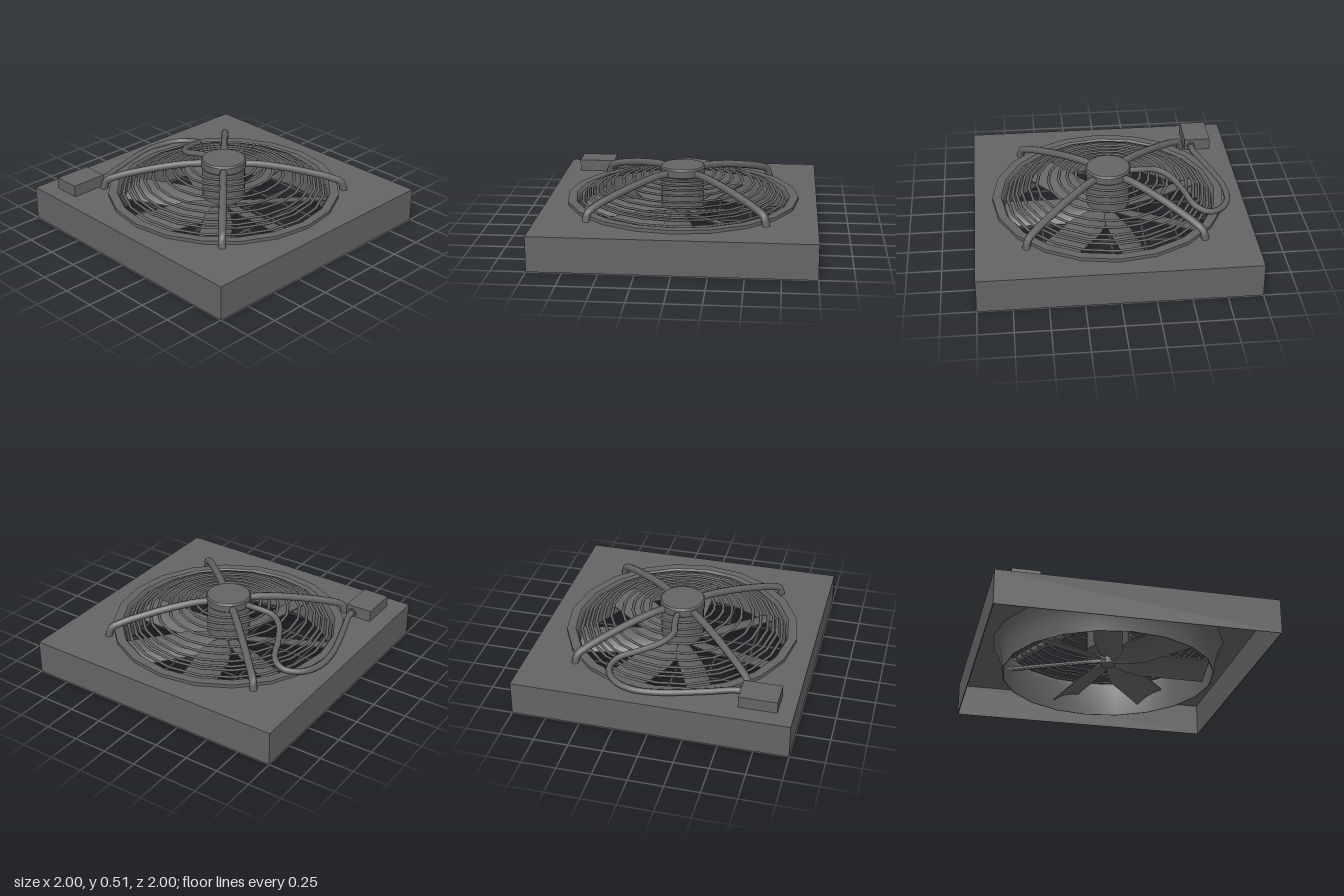
import * as THREE from 'three';
import { toCreasedNormals } from 'three/addons/utils/BufferGeometryUtils.js';

export function createModel() {
  const model = new THREE.Group();
  model.name = 'plateMountedFan';
  const metal = new THREE.MeshStandardMaterial({ color: 0x646464 });
  metal.name = 'darkGreyMetal';

  const add = (name, geometry, parent = model) => {
    const mesh = new THREE.Mesh(geometry, metal);
    mesh.name = name;
    parent.add(mesh);
    return mesh;
  };
  const lathe = (points, sides) => toCreasedNormals(
    new THREE.LatheGeometry(points.map(([r, y]) => new THREE.Vector2(r, y)), sides), 0.6);
  const tube = (points, radius, segments) => new THREE.TubeGeometry(
    new THREE.CatmullRomCurve3(points.map((p) => new THREE.Vector3(...p))), segments, radius, 8);
  const square = (h, Type) => new Type([[-h, -h], [h, -h], [h, h], [-h, h]]
    .map(([x, y]) => new THREE.Vector2(x, y)));

  // Mounting plate: folded skirt, open below, with a round opening on top
  const skirt = square(1, THREE.Shape);
  skirt.holes.push(square(0.994, THREE.Path));
  const plate = square(1, THREE.Shape);
  const opening = new THREE.Path();
  opening.absarc(0, 0, 0.82, 0, Math.PI * 2, true);
  plate.holes.push(opening);
  const slab = (shape, depth, y) => {
    const g = new THREE.ExtrudeGeometry(shape, { depth, bevelEnabled: false, curveSegments: 20 });
    return g.rotateX(-Math.PI / 2).translate(0, y, 0);
  };
  add('plateSkirt', slab(skirt, 0.247, 0));
  add('plateTop', slab(plate, 0.008, 0.247));

  // Bell-shaped duct running from the raised lip down to the skirt's lower edge
  add('duct', lathe([[0.787, 0.003], [0.794, 0.06], [0.808, 0.13], [0.832, 0.2], [0.864, 0.245],
    [0.864, 0.28], [0.8, 0.28], [0.787, 0.265], [0.781, 0.24], [0.781, 0.003], [0.787, 0.003]], 20));

  // Motor housing and the small rotor hub under it
  add('motor', lathe([[0, 0.2], [0.16, 0.2], [0.16, 0.44], [0.167, 0.448], [0.167, 0.498],
    [0.157, 0.51], [0, 0.51]], 24));
  add('rotorHub', lathe([[0, 0.095], [0.055, 0.095], [0.055, 0.2], [0, 0.2]], 20));

  // Seven pitched, cambered blades
  const rotor = new THREE.Group();
  rotor.name = 'rotor';
  model.add(rotor);
  const blade = new THREE.BoxGeometry(0.735, 0.01, 1, 6, 1, 6);
  const pos = blade.attributes.position;
  for (let i = 0; i < pos.count; i++) {
    const along = pos.getX(i) / 0.735 + 0.5;
    const across = pos.getZ(i) * 2;
    const half = 0.03 + 0.075 * Math.min(1, along * 4);
    const camber = 0.02 * (1 - across * across);
    pos.setXYZ(i, 0.035 + 0.735 * along, 0.125 + pos.getY(i) + across * half * 0.42 + camber,
      across * half - camber * 0.4);
  }
  blade.computeVertexNormals();
  for (let i = 0; i < 7; i++) {
    add('blade', blade, rotor).rotation.y = -Math.PI / 2 - i * Math.PI * 2 / 7;
  }

  // Domed guard of concentric flattened wire rings
  const guard = new THREE.Group();
  guard.name = 'guard';
  model.add(guard);
  [[0.24, 0.445], [0.305, 0.432], [0.37, 0.418], [0.445, 0.4], [0.53, 0.378], [0.59, 0.357],
    [0.645, 0.332], [0.685, 0.315], [0.715, 0.303], [0.752, 0.27]].forEach(([r, y]) => {
    add('guardRing', new THREE.TorusGeometry(r, 0.012, 6, 20).rotateX(Math.PI / 2)
      .scale(1, 0.65, 1).translate(0, y, 0), guard);
  });

  // Four bent support arms from motor to plate
  const arm = tube([[0.13, 0.465, 0], [0.25, 0.462, 0], [0.43, 0.438, 0], [0.63, 0.397, 0],
    [0.8, 0.352, 0], [0.88, 0.315, 0], [0.9, 0.25, 0]], 0.028, 24);
  for (let i = 0; i < 4; i++) {
    add('supportArm', arm, guard).rotation.y = Math.PI / 4 + i * Math.PI / 2;
  }

  // Junction box: base and lid, with cable gland
  add('junctionBoxBase', new THREE.BoxGeometry(0.275, 0.06, 0.2).translate(-0.747, 0.282, -0.77));
  add('junctionBoxLid', new THREE.BoxGeometry(0.275, 0.03, 0.2).translate(-0.747, 0.327, -0.77));
  add('cableGland', new THREE.CylinderGeometry(0.032, 0.032, 0.015, 12)
    .rotateZ(Math.PI / 2).translate(-0.602, 0.288, -0.72));

  // Cable looping from the junction box up to the motor
  add('cable', tube([[-0.6, 0.288, -0.72], [-0.54, 0.285, -0.725], [-0.37, 0.28, -0.78],
    [-0.02, 0.278, -0.875], [0.165, 0.278, -0.875], [0.3, 0.285, -0.81], [0.36, 0.3, -0.7],
    [0.32, 0.33, -0.61], [0.165, 0.375, -0.54], [0.03, 0.415, -0.46], [-0.025, 0.44, -0.37],
    [-0.005, 0.462, -0.24], [0, 0.465, -0.13]], 0.023, 48));

  return model;
}
